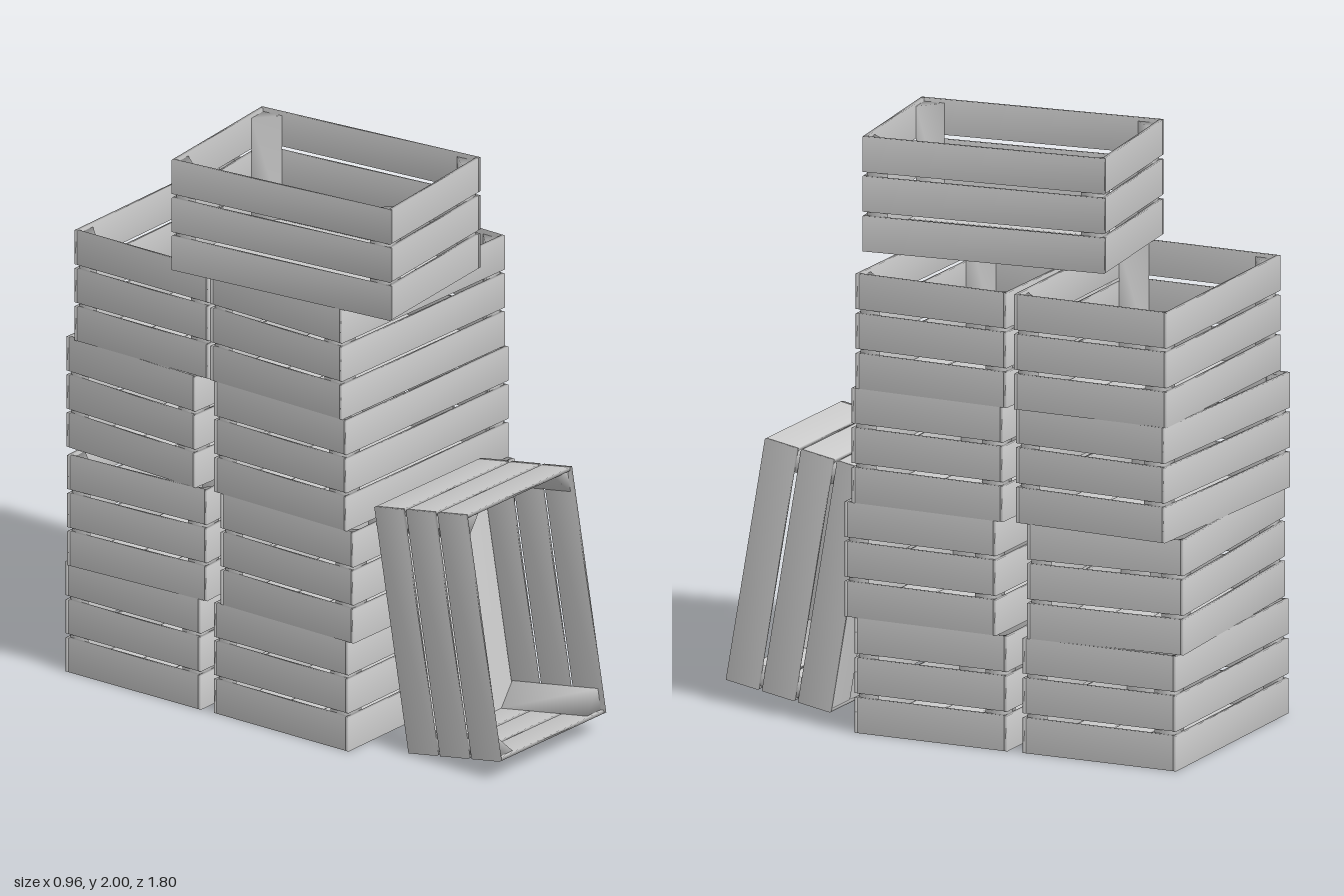
import * as THREE from 'three';
import { mergeVertices } from 'three/addons/utils/BufferGeometryUtils.js';

const LENGTH = 0.87, WIDTH = 0.575, HEIGHT = 0.4, BOARD = 0.012;
const SLAT = 0.123, PITCH = (HEIGHT - SLAT) / 2;
const material = new THREE.MeshStandardMaterial({ color: 0xcccccc });

// Shares corner vertices so that shading rolls softly over the edges
function soften(geometry) {
  geometry.deleteAttribute('uv');
  geometry.deleteAttribute('normal');
  const merged = mergeVertices(geometry, 1e-5);
  merged.computeVertexNormals();
  return merged;
}

// Triangular corner post, right angle at the origin, standing along +y
function postGeometry(height, leg) {
  const shape = new THREE.Shape([
    new THREE.Vector2(0, 0), new THREE.Vector2(leg, 0), new THREE.Vector2(0, leg),
  ]);
  const geometry = new THREE.ExtrudeGeometry(shape, { depth: height, bevelEnabled: false });
  return soften(geometry.rotateX(-Math.PI / 2));
}

const longSlat = soften(new THREE.BoxGeometry(LENGTH, SLAT, BOARD));
const endSlat = soften(new THREE.BoxGeometry(BOARD, SLAT, WIDTH - 2 * BOARD));
const floorWidth = (WIDTH - 2 * BOARD) / 4;
const floorSlat = soften(new THREE.BoxGeometry(LENGTH - 2 * BOARD, BOARD, floorWidth - 0.009));
const post = postGeometry(HEIGHT - BOARD - 0.012, 0.075);

function add(parent, name, geometry, x, y, z, turn = 0) {
  const mesh = new THREE.Mesh(geometry, material);
  mesh.name = name;
  mesh.position.set(x, y, z);
  mesh.rotation.y = turn;
  parent.add(mesh);
}

// Open slatted crate, standing on y = 0 with its long side on x
function createCrate(name) {
  const crate = new THREE.Group();
  crate.name = name;
  for (let row = 0; row < 3; row++) {
    const y = SLAT / 2 + row * PITCH;
    for (const side of [-1, 1]) {
      add(crate, 'longSlat', longSlat, 0, y, side * (WIDTH - BOARD) / 2);
      add(crate, 'endSlat', endSlat, side * (LENGTH - BOARD) / 2, y, 0);
    }
  }
  for (let i = 0; i < 4; i++) {
    add(crate, 'floorSlat', floorSlat, 0, BOARD / 2, (i - 1.5) * floorWidth);
  }
  // Posts in the four corners, each turned so its legs follow the walls
  const px = LENGTH / 2 - BOARD, pz = WIDTH / 2 - BOARD;
  [[-px, pz], [px, pz], [px, -pz], [-px, -pz]].forEach(([x, z], i) => {
    add(crate, 'cornerPost', post, x, BOARD, z, i * Math.PI / 2);
  });
  return crate;
}

// Each level, bottom to top: x, z, turn in degrees
const STACKS = {
  frontStack: [[0.03, 0.04, 1], [0.03, 0.0725, 0.1], [0.033, 0.0425, -0.1], [0.035, 0.025, -0.4]],
  rearStack: [[0.012, -0.5875, 1.3], [0, -0.5825, 4], [0.03, -0.5875, -2], [0.035, -0.5675, 1]],
};

export function createModel() {
  const model = new THREE.Group();
  model.name = 'crateStacks';

  for (const [name, levels] of Object.entries(STACKS)) {
    const stack = new THREE.Group();
    stack.name = name;
    levels.forEach(([x, z, turn], level) => {
      const crate = createCrate('stackedCrate');
      crate.position.set(x, level * HEIGHT, z);
      crate.rotation.y = THREE.MathUtils.degToRad(turn);
      stack.add(crate);
    });
    model.add(stack);
  }

  // Crate laid crosswise on top of the stacks
  const topCrate = createCrate('topCrate');
  topCrate.position.set(-0.145, 4 * HEIGHT, 0.033);
  topCrate.rotation.y = THREE.MathUtils.degToRad(-83.3);
  model.add(topCrate);

  // Crate stood on end, open to the front and leaning back
  const lean = THREE.MathUtils.degToRad(9.8);
  const c = Math.cos(lean), s = Math.sin(lean);
  const up = new THREE.Vector3(0, c, -s), open = new THREE.Vector3(0, s, c);
  const leaning = createCrate('leaningCrate');
  leaning.quaternion.setFromRotationMatrix(
    new THREE.Matrix4().makeBasis(up, open, new THREE.Vector3(1, 0, 0)));
  leaning.position.set(-0.006, 0.467, 0.632).addScaledVector(open, -HEIGHT / 2);
  model.add(leaning);

  return model;
}
